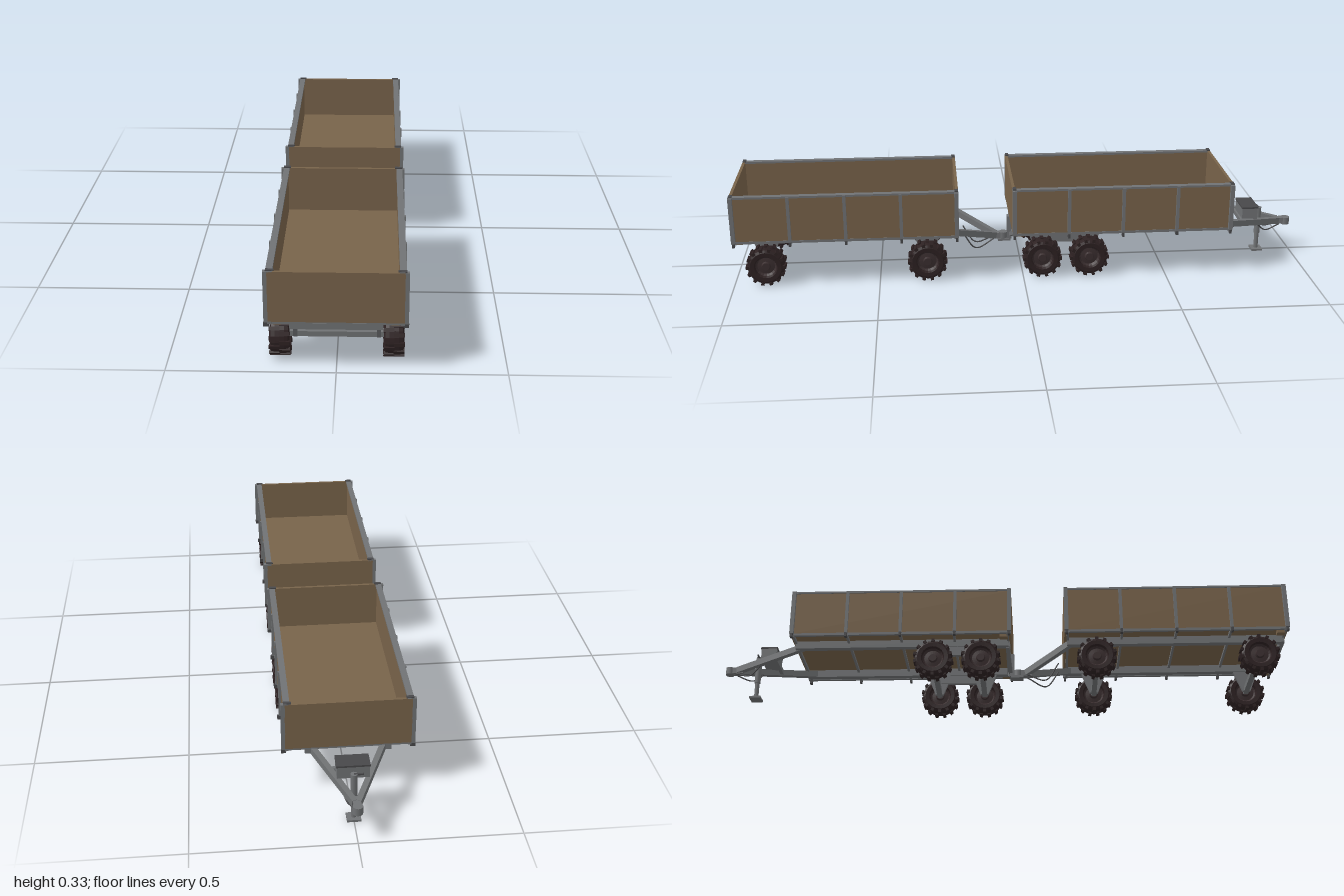
import * as THREE from 'three';

const mat = (name, color, extra = {}) => {
  const m = new THREE.MeshStandardMaterial({ color, ...extra });
  m.name = name;
  return m;
};
const V = (x, y, z) => new THREE.Vector3(x, y, z);

export function createModel() {
  const wood = mat('brown planks', 0x78634a);
  const steel = mat('grey steel', 0x707274);
  const dark = mat('dark steel', 0x48484a);
  const rubber = mat('tyre rubber', 0x2d2122, { flatShading: true });
  const rimMat = mat('wheel rim', 0x3a2e2f, { flatShading: true });

  const root = new THREE.Group();
  root.name = 'trailerPair';

  const add = (parent, name, geo, m, x = 0, y = 0, z = 0) => {
    const mesh = new THREE.Mesh(geo, m);
    mesh.name = name;
    mesh.position.set(x, y, z);
    parent.add(mesh);
    return mesh;
  };
  // Box given by its limits
  const box = (parent, name, m, x0, x1, y0, y1, z0, z1) =>
    add(parent, name, new THREE.BoxGeometry(x1 - x0, y1 - y0, z1 - z0), m,
      (x0 + x1) / 2, (y0 + y1) / 2, (z0 + z1) / 2);
  // Square bar between two points
  const bar = (parent, name, m, a, b, w, h) => {
    const mesh = add(parent, name, new THREE.BoxGeometry(w, h, a.distanceTo(b)), m);
    mesh.position.copy(a).add(b).multiplyScalar(0.5);
    mesh.lookAt(b);
    return mesh;
  };
  const cyl = (parent, name, m, r, h, x, y, z, n = 12) =>
    add(parent, name, new THREE.CylinderGeometry(r, r, h, n), m, x, y, z);

  // Tyre with a dished side, chunky tread lugs and hub
  const tyreGeo = new THREE.LatheGeometry([
    [0.036, -0.02], [0.04, -0.029], [0.054, -0.03], [0.062, -0.025], [0.064, -0.014],
    [0.064, 0.014], [0.062, 0.025], [0.054, 0.03], [0.04, 0.029], [0.036, 0.02],
  ].map(p => new THREE.Vector2(...p)), 20).rotateZ(Math.PI / 2);
  const rimGeo = new THREE.LatheGeometry([
    [0, -0.023], [0.013, -0.023], [0.016, -0.015], [0.03, -0.013], [0.037, -0.021],
    [0.037, 0.021], [0.03, 0.013], [0.016, 0.015], [0.013, 0.023], [0, 0.023],
  ].map(p => new THREE.Vector2(...p)), 20).rotateZ(Math.PI / 2);
  const lugGeo = new THREE.BoxGeometry(0.032, 0.011, 0.011);
  const wheel = (parent, x, z) => {
    const g = new THREE.Group();
    g.name = 'wheel';
    g.position.set(x, 0.069, z);
    add(g, 'tyre', tyreGeo, rubber);
    add(g, 'rim', rimGeo, rimMat);
    const n = 14;
    for (let i = 0; i < n * 2; i++) {
      const a = i * Math.PI / n;
      const lug = add(g, 'treadLug', lugGeo, rubber, i % 2 ? 0.015 : -0.015,
        0.0622 * Math.cos(a), 0.0622 * Math.sin(a));
      lug.rotation.x = a;
    }
    parent.add(g);
  };

  // Tapered plate that carries an axle below the chassis rail
  const plate = new THREE.Shape([[-0.045, 0.14], [0.045, 0.14], [0.014, 0.062], [-0.014, 0.062]]
    .map(p => new THREE.Vector2(...p)));
  const plateGeo = new THREE.ExtrudeGeometry(plate, { depth: 0.012, bevelEnabled: false })
    .translate(0, 0, -0.006).rotateY(Math.PI / 2);

  const trailer = (name, z0, z1, axles) => {
    const g = new THREE.Group();
    g.name = name;
    root.add(g);
    // Open wooden load box
    box(g, 'floor', wood, -0.195, 0.195, 0.164, 0.171, z0 + 0.004, z1 - 0.004);
    box(g, 'frontBoard', wood, -0.196, 0.196, 0.165, 0.325, z0, z0 + 0.01);
    box(g, 'rearBoard', wood, -0.196, 0.196, 0.165, 0.325, z1 - 0.01, z1);
    // Chassis: cross members and edge frame
    for (let i = 0; i < 5; i++) {
      const z = THREE.MathUtils.lerp(z0 + 0.012, z1 - 0.012, i / 4);
      box(g, 'crossMember', steel, -0.196, 0.196, 0.154, 0.164, z - 0.004, z + 0.004);
    }
    for (const s of [-1, 1]) {
      const sideBox = (n, m, xa, xb, ...rest) =>
        box(g, n, m, Math.min(s * xa, s * xb), Math.max(s * xa, s * xb), ...rest);
      sideBox('sideBoard', wood, 0.185, 0.196, 0.165, 0.321, z0 + 0.008, z1 - 0.008);
      sideBox('topRail', steel, 0.18, 0.2, 0.32, 0.327, z0, z1);
      sideBox('edgeFrame', steel, 0.186, 0.197, 0.157, 0.166, z0, z1);
      sideBox('chassisRail', steel, 0.113, 0.135, 0.137, 0.165, z0 + 0.01, z1 - 0.01);
      sideBox('marker', wood, 0.158, 0.182, 0.15, 0.163, z1 - 0.04, z1 - 0.012);
      // Side posts, heavier at the corners
      for (let i = 0; i < 5; i++) {
        const end = i === 0 || i === 4;
        const z = THREE.MathUtils.lerp(z0 + 0.007, z1 - 0.007, i / 4);
        const w = end ? 0.007 : 0.0055;
        sideBox('sidePost', steel, 0.195, end ? 0.208 : 0.204, 0.162, 0.325, z - w, z + w);
        sideBox('postFoot', dark, 0.193, 0.209, 0.148, 0.162, z - 0.004, z + 0.004);
        if (end) sideBox('cornerLatch', dark, 0.176, 0.2, 0.327, 0.33, z - 0.006, z + 0.006);
      }
      for (const z of axles) {
        add(g, 'axleHanger', plateGeo, steel, s * 0.124, 0, z);
        wheel(g, s * 0.168, z);
      }
    }
    for (const z of axles) box(g, 'axle', steel, -0.15, 0.15, 0.061, 0.078, z - 0.009, z + 0.009);
    return g;
  };

  // Sloping A-frame drawbar ending in a ball coupler
  const drawbar = (g, xs, ys, zs, yTip, zTip, zEnd) => {
    for (const s of [-1, 1]) {
      bar(g, 'drawbarArm', steel, V(s * xs, ys, zs), V(s * 0.006, yTip, zTip), 0.018, 0.022);
    }
    box(g, 'couplerBody', steel, -0.012, 0.012, yTip - 0.012, yTip + 0.01, zEnd + 0.012, zTip + 0.02);
    cyl(g, 'couplerHead', steel, 0.016, 0.026, 0, yTip - 0.002, zEnd + 0.016);
  };
  // Slack cables hanging below a drawbar
  const cable = (g, pts) => {
    for (const s of [-1, 1]) {
      const c = new THREE.CatmullRomCurve3(pts.map(([x, y, z]) => V(s * x, y, z)));
      add(g, 'safetyCable', new THREE.TubeGeometry(c, 14, 0.0025, 5), dark);
    }
  };

  const lead = trailer('leadTrailer', -0.735, 0.035, [-0.07, -0.235]);
  drawbar(lead, 0.122, 0.15, -0.69, 0.113, -0.955, -1);
  box(lead, 'drawbarBrace', steel, -0.07, 0.07, 0.125, 0.14, -0.815, -0.803);
  cable(lead, [[0.04, 0.125, -0.86], [0.025, 0.085, -0.905], [0.01, 0.1, -0.96]]);
  // Equaliser bar joining the tandem axles
  for (const s of [-1, 1]) {
    box(lead, 'equaliser', steel, s * 0.124 - 0.007, s * 0.124 + 0.007, 0.105, 0.14, -0.24, -0.065);
  }
  // Tool box on the drawbar
  box(lead, 'toolBox', steel, -0.05, 0.05, 0.138, 0.178, -0.865, -0.81);
  box(lead, 'toolBoxLid', dark, -0.052, 0.052, 0.178, 0.184, -0.867, -0.808);
  // Parking jack
  cyl(lead, 'jackTube', steel, 0.011, 0.1, 0, 0.115, -0.882);
  cyl(lead, 'jackLeg', steel, 0.008, 0.07, 0, 0.038, -0.882);
  box(lead, 'jackFoot', steel, -0.022, 0.022, 0, 0.007, -0.902, -0.862);
  bar(lead, 'jackCrank', dark, V(0, 0.163, -0.882), V(-0.03, 0.163, -0.882), 0.005, 0.005);
  // Rear hitch with drop post and ball mount
  box(lead, 'hitchPost', steel, -0.014, 0.014, 0.075, 0.16, 0.026, 0.042);
  box(lead, 'hitchBeam', steel, -0.125, 0.125, 0.138, 0.158, 0.015, 0.03);
  for (const s of [-1, 1]) {
    bar(lead, 'hitchBrace', steel, V(s * 0.12, 0.142, 0.022), V(s * 0.008, 0.09, 0.03), 0.012, 0.014);
  }
  box(lead, 'hitchTongue', steel, -0.016, 0.016, 0.068, 0.077, 0.03, 0.075);

  const rear = trailer('rearTrailer', 0.22, 0.993, [0.33, 0.885]);
  drawbar(rear, 0.122, 0.15, 0.245, 0.088, 0.085, 0.04);
  cable(rear, [[0.04, 0.11, 0.2], [0.03, 0.05, 0.155], [0.015, 0.078, 0.09]]);
  box(rear, 'bumperBeam', steel, -0.125, 0.125, 0.138, 0.158, 0.972, 0.986);

  // Centre on the ground plane
  const b = new THREE.Box3().setFromObject(root);
  const c = b.getCenter(new THREE.Vector3());
  root.children.forEach(o => o.position.add(V(-c.x, -b.min.y, -c.z)));
  return root;
}
